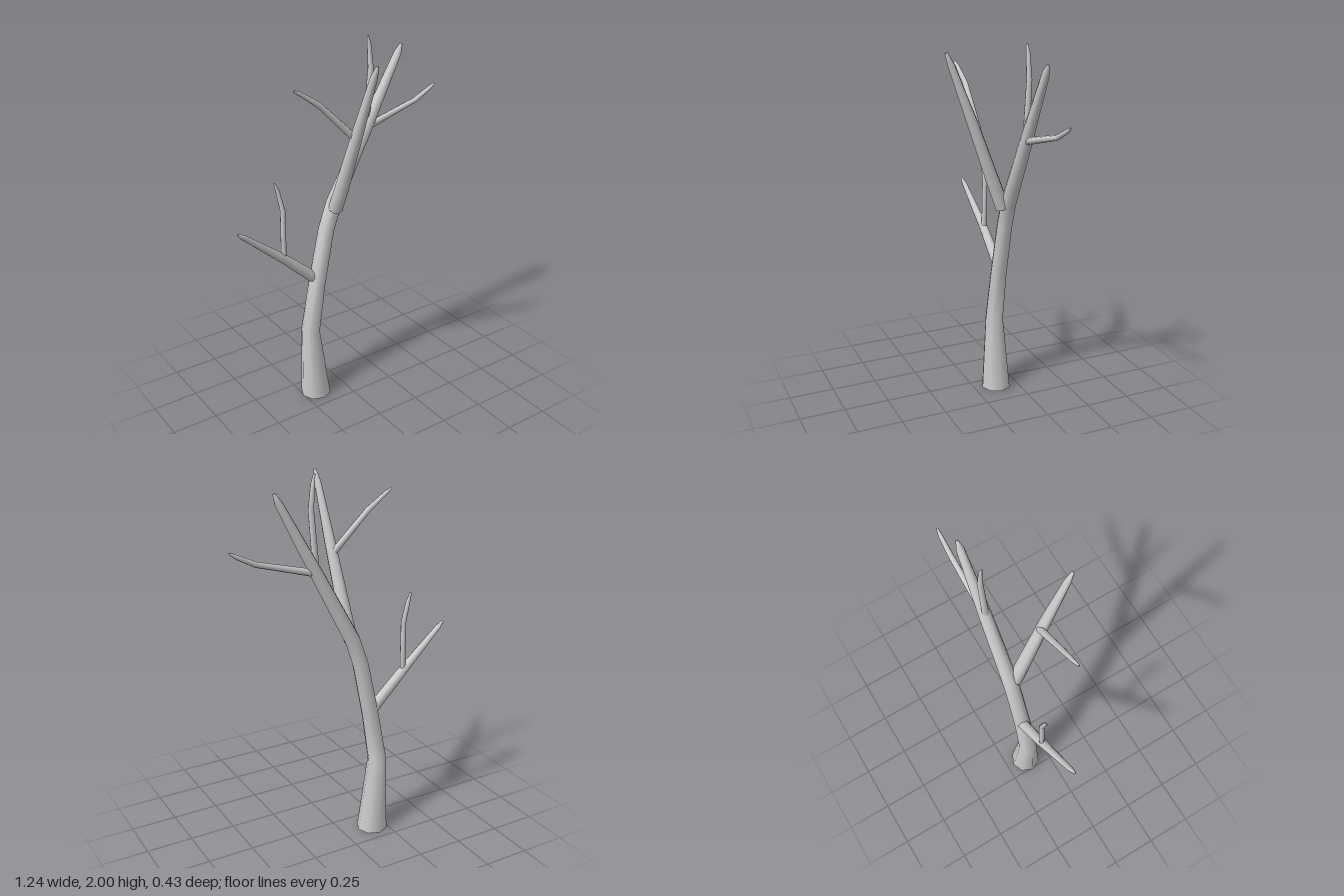
import * as THREE from 'three';

const SIDES = 8;
const material = new THREE.MeshStandardMaterial({ color: 0xcccccc, side: THREE.DoubleSide });

// Tapered limb: each point is [x, y, z, radius]; open at the base, closed at the tip.
function limb(name, points) {
  const centres = points.map(([x, y, z]) => new THREE.Vector3(x, y, z));
  const last = points.length - 1;
  const positions = [], index = [];
  points.forEach((p, i) => {
    // Ring plane is square to the averaged direction of the limb
    const dir = new THREE.Vector3();
    if (i > 0) dir.add(centres[i].clone().sub(centres[i - 1]).normalize());
    if (i < last) dir.add(centres[i + 1].clone().sub(centres[i]).normalize());
    // The trunk's foot lies flat on the ground
    if (p[1] === 0) dir.set(0, 1, 0);
    dir.normalize();
    const side = new THREE.Vector3(0, 0, 1).addScaledVector(dir, -dir.z).normalize();
    const across = new THREE.Vector3().crossVectors(dir, side);
    for (let k = 0; k < SIDES; k++) {
      const a = (k / SIDES) * Math.PI * 2;
      const v = centres[i].clone()
        .addScaledVector(side, Math.cos(a) * p[3])
        .addScaledVector(across, Math.sin(a) * p[3]);
      positions.push(v.x, v.y, v.z);
      if (i < last) {
        const n = (k + 1) % SIDES, b = i * SIDES, t = b + SIDES;
        index.push(b + k, b + n, t + n, b + k, t + n, t + k);
      }
    }
  });
  // Tip cap
  const tip = positions.length / 3;
  positions.push(...centres[last].toArray());
  for (let k = 0; k < SIDES; k++) index.push(last * SIDES + k, last * SIDES + (k + 1) % SIDES, tip);

  const geometry = new THREE.BufferGeometry();
  geometry.setAttribute('position', new THREE.Float32BufferAttribute(positions, 3));
  geometry.setIndex(index);
  geometry.computeVertexNormals();
  const mesh = new THREE.Mesh(geometry, material);
  mesh.name = name;
  return mesh;
}

export function createModel() {
  const tree = new THREE.Group();
  tree.name = 'bareTree';
  tree.add(
    // Trunk, bending twice and running on into the left main bough
    limb('trunk', [
      [-0.174, 0, -0.13, 0.084], [-0.2, 0.42, -0.13, 0.052], [-0.15, 0.7, -0.132, 0.046],
      [-0.084, 1.0, -0.136, 0.043], [-0.035, 1.14, -0.135, 0.042], [0.17, 1.52, -0.133, 0.034],
      [0.365, 1.88, -0.132, 0.02], [0.387, 1.925, -0.132, 0.007],
    ]),
    // Bough leaning to the front
    limb('frontBough', [
      [-0.045, 1.12, -0.105, 0.038], [-0.038, 1.25, -0.055, 0.037], [-0.025, 1.6, 0.075, 0.029],
      [-0.017, 1.89, 0.187, 0.018], [-0.015, 1.948, 0.212, 0.008],
    ]),
    // Low bough on the right
    limb('lowBough', [
      [-0.16, 0.73, -0.14, 0.031], [-0.35, 0.905, -0.132, 0.025],
      [-0.585, 1.103, -0.113, 0.014], [-0.618, 1.13, -0.109, 0.006],
    ]),
    // Twigs
    limb('lowTwig', [
      [-0.35, 0.9, -0.132, 0.015], [-0.345, 1.18, -0.135, 0.014],
      [-0.37, 1.29, -0.135, 0.011], [-0.386, 1.336, -0.135, 0.005],
    ]),
    limb('frontTwig', [
      [-0.03, 1.56, 0.042, 0.019], [-0.22, 1.755, 0.028, 0.015],
      [-0.33, 1.833, 0.029, 0.01], [-0.36, 1.849, 0.032, 0.005],
    ]),
    limb('upperTwig', [
      [0.17, 1.53, -0.132, 0.018], [0.196, 1.83, -0.132, 0.015],
      [0.184, 1.95, -0.13, 0.011], [0.174, 1.999, -0.128, 0.005],
    ]),
    limb('outerTwig', [
      [0.19, 1.525, -0.132, 0.019], [0.49, 1.608, -0.133, 0.014],
      [0.585, 1.657, -0.132, 0.011], [0.617, 1.678, -0.13, 0.005],
    ]),
  );
  return tree;
}
